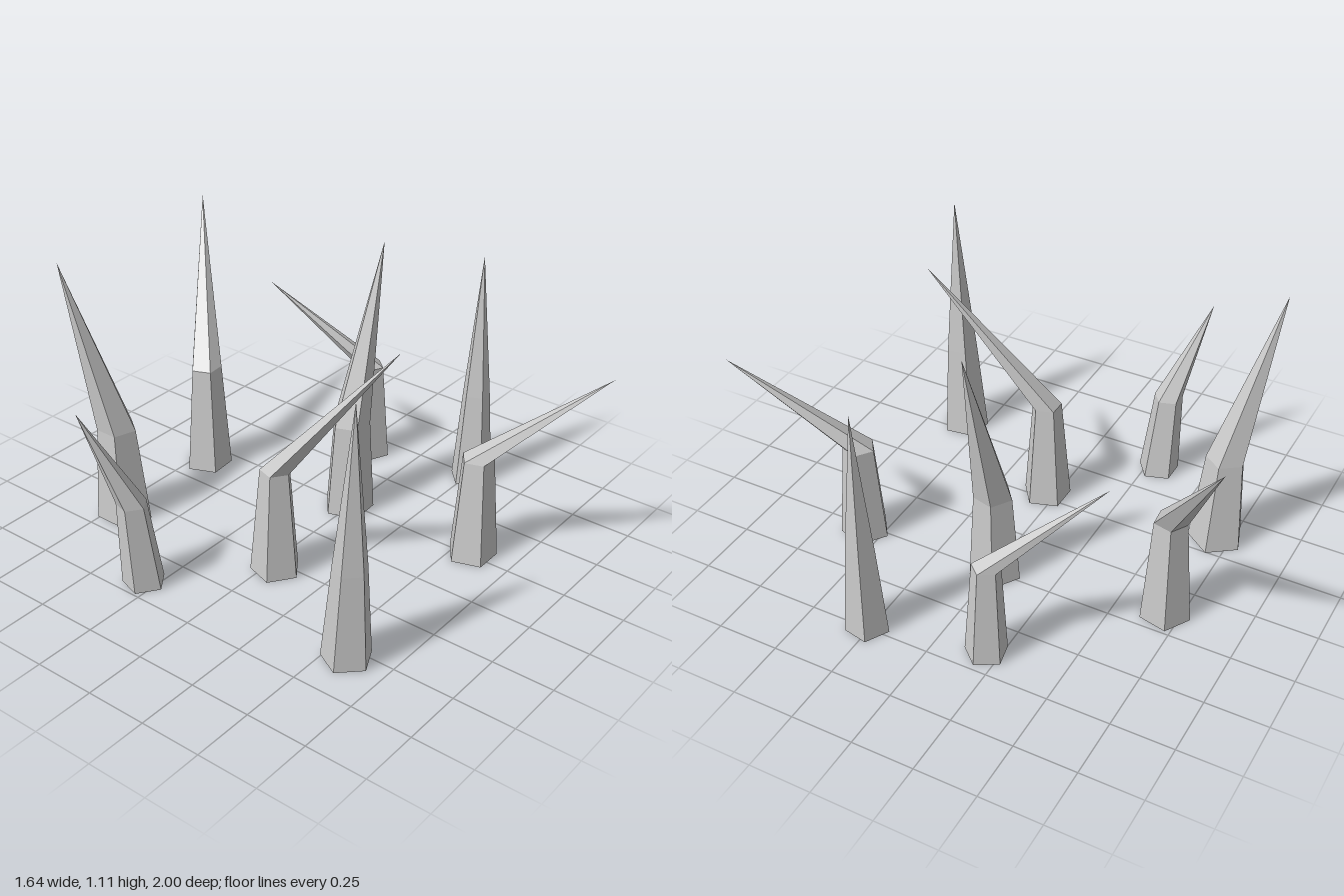
import * as THREE from 'three';

// Each spike: base centre, base radius, first corner angle (degrees),
// knee centre, knee radius, tip
const SPIKES = [
  { base: [-0.36, -0.69], r: 0.114, turn: 0, knee: [-0.365, 0.4, -0.7], kneeR: 0.08, tip: [-0.48, 1.11, -0.84] },
  { base: [0.145, -0.69], r: 0.1, turn: 49, knee: [0.15, 0.46, -0.69], kneeR: 0.066, tip: [0.51, 1.03, -1] },
  { base: [0.645, -0.195], r: 0.084, turn: 6, knee: [0.645, 0.42, -0.2], kneeR: 0.056, tip: [0.45, 0.77, -0.58] },
  { base: [-0.66, -0.3], r: 0.085, turn: 18, knee: [-0.685, 0.36, -0.315], kneeR: 0.06, tip: [-0.82, 0.76, -0.43] },
  { base: [-0.285, 0.04], r: 0.1, turn: 90, knee: [-0.285, 0.45, 0.045], kneeR: 0.061, tip: [-0.15, 1.03, 0.5] },
  { base: [0.24, -0.01], r: 0.104, turn: 51, knee: [0.25, 0.39, -0.01], kneeR: 0.078, tip: [0.44, 1.11, 0] },
  { base: [0.737, 0.263], r: 0.088, turn: 47, knee: [0.748, 0.4, 0.26], kneeR: 0.057, tip: [0.77, 1, 0.25] },
  { base: [-0.55, 0.582], r: 0.098, turn: 28, knee: [-0.56, 0.4, 0.6], kneeR: 0.067, tip: [-0.578, 1.07, 0.625] },
  { base: [0.265, 0.575], r: 0.1, turn: 54, knee: [0.278, 0.428, 0.57], kneeR: 0.065, tip: [0.485, 0.82, 1] },
];

const SIDES = 5;

// Level pentagon of corner points
function ring([x, y, z], radius, turn) {
  return Array.from({ length: SIDES }, (_, i) => {
    const a = THREE.MathUtils.degToRad(turn) + (i / SIDES) * Math.PI * 2;
    return [x + radius * Math.cos(a), y, z + radius * Math.sin(a)];
  });
}

// Tapered stem up to the knee, then a bent point
function spikeGeometry({ base, r, turn, knee, kneeR, tip }) {
  const foot = [base[0], 0, base[1]];
  const lower = ring(foot, r, turn);
  const upper = ring(knee, kneeR, turn);
  const points = [];
  for (let i = 0; i < SIDES; i++) {
    const j = (i + 1) % SIDES;
    points.push(foot, lower[i], lower[j]); // underside
    points.push(lower[i], upper[i], upper[j], lower[i], upper[j], lower[j]); // stem
    points.push(upper[i], tip, upper[j]); // point
  }
  const geometry = new THREE.BufferGeometry();
  geometry.setAttribute('position', new THREE.Float32BufferAttribute(points.flat(), 3));
  geometry.computeVertexNormals();
  return geometry;
}

export function createModel() {
  const group = new THREE.Group();
  group.name = 'spikes';
  const material = new THREE.MeshStandardMaterial({ color: 0xcccccc, flatShading: true });
  SPIKES.forEach((spike, i) => {
    const mesh = new THREE.Mesh(spikeGeometry(spike), material);
    mesh.name = `spike${i + 1}`;
    group.add(mesh);
  });
  return group;
}
